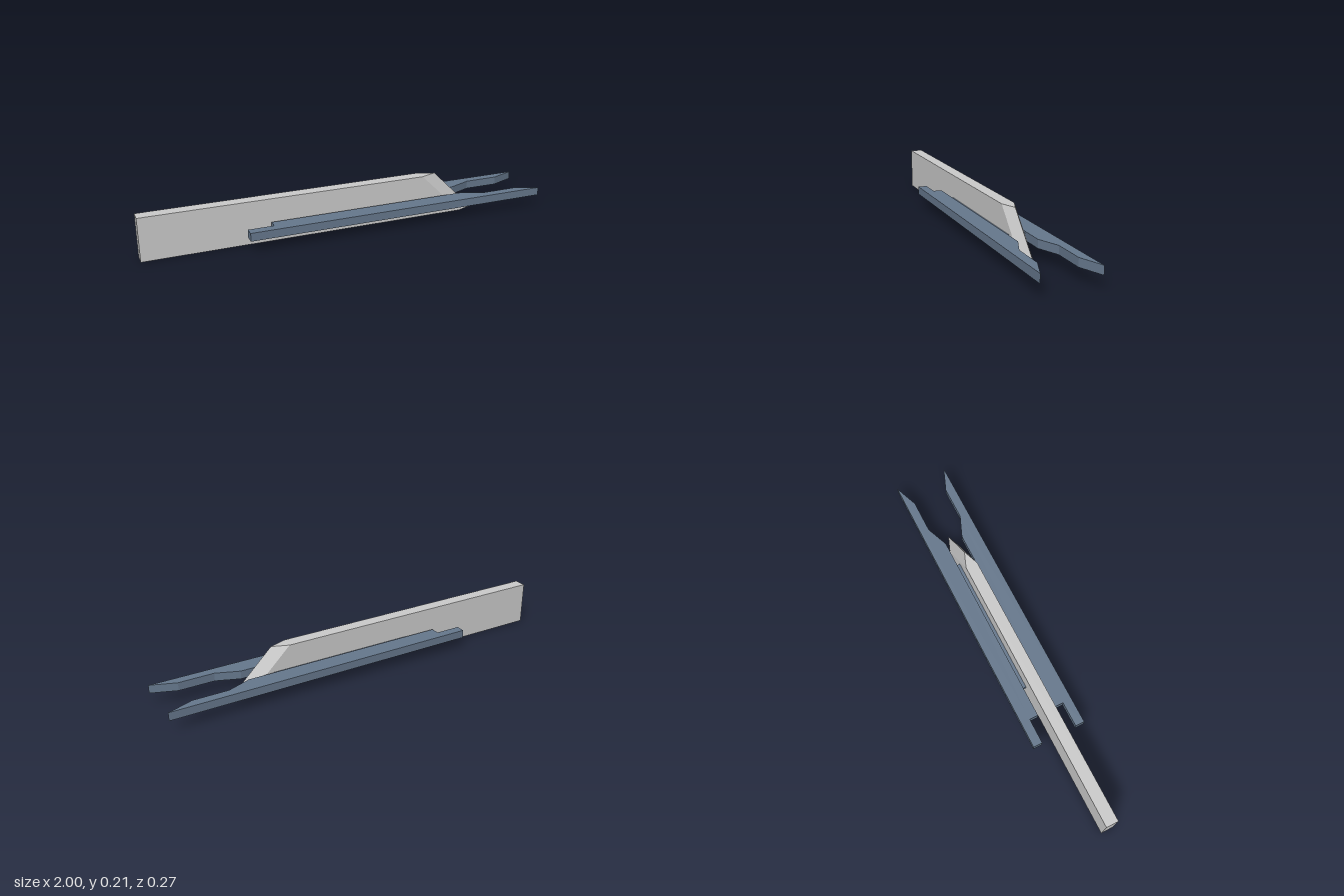
import * as THREE from 'three';

const grey = new THREE.MeshStandardMaterial({ color: 0xcccccc, flatShading: true });
const blue = new THREE.MeshStandardMaterial({ color: 0x66788d, flatShading: true });

// Plan outline in [x, z], raised from y0 to y1
function plate(points, y0, y1) {
  const shape = new THREE.Shape(points.map(([x, z]) => new THREE.Vector2(x, -z)));
  const geometry = new THREE.ExtrudeGeometry(shape, { depth: y1 - y0, bevelEnabled: false });
  return geometry.rotateX(-Math.PI / 2).translate(0, y0, 0);
}

function addPart(group, name, geometry, material) {
  const mesh = new THREE.Mesh(geometry, material);
  mesh.name = name;
  group.add(mesh);
}

export function createModel() {
  const model = new THREE.Group();
  model.name = 'model';

  // Upright blade with a wedge nose that rakes back towards the top
  const height = 0.21, rake = 0.215, half = 0.03;
  const blade = plate([[-1, half], [0.6, half], [0.68, 0], [0.6, -half], [-1, -half]], 0, height);
  const pos = blade.attributes.position;
  for (let i = 0; i < pos.count; i++) {
    if (pos.getX(i) > 0) pos.setX(i, pos.getX(i) - rake * pos.getY(i) / height);
  }
  blade.computeVertexNormals();
  addPart(model, 'blade', blade, grey);

  // Side rails with stepped tails and tapered prongs, mirrored across the blade
  const rail = [
    [-0.525, 0.133], [1, 0.133], [0.88, 0.088], [0.71, 0.088],
    [0.6, 0.045], [-0.4, 0.045], [-0.4, 0.088], [-0.525, 0.088],
  ];
  for (const [side, name] of [[1, 'frontRail'], [-1, 'backRail']]) {
    addPart(model, name, plate(rail.map(([x, z]) => [x, z * side]), 0.061, 0.101), blue);
  }

  // Flat tongue through the blade joining the rails
  const tongue = new THREE.BoxGeometry(0.72, 0.023, 0.094).translate(0.11, 0.082, 0);
  addPart(model, 'tongue', tongue, blue);

  return model;
}
